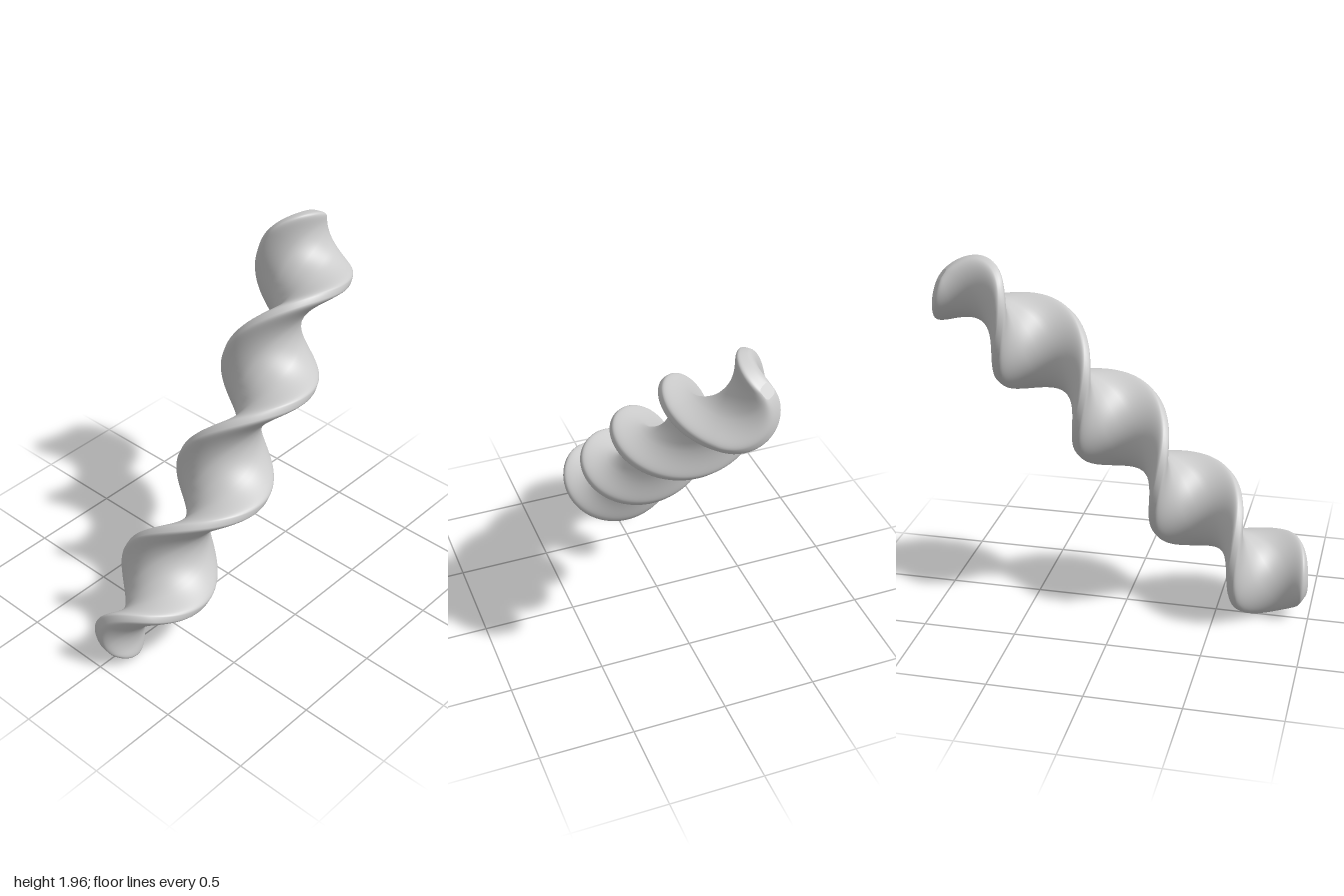
import * as THREE from 'three';

const V = (x, y, z) => new THREE.Vector3(x, y, z);

// Gently bent centre line; each control point is one half turn of the twist
const axis = new THREE.CatmullRomCurve3([
  V(-1.11, -0.01, -0.005), V(-0.622, 0.33, 0.06), V(-0.19, 0.735, 0.082),
  V(0.227, 1.176, 0.042), V(0.638, 1.592, -0.07), V(1.06, 1.975, -0.245),
], false, 'catmullrom', 0.5);

const START = -0.7, END = 3.67;                  // in half turns
const START_ROUND = 0.48, END_ROUND = 0.38;      // length of the rounded ends
const RINGS = 240, SIDES = 48;
const HALF_WIDTH = 0.264, HALF_THICK = 0.074;

const rounded = (c) => Math.sign(c) * Math.abs(c) ** 0.58;

// One cross-section of the ribbon at half turn k
function section(k) {
  const t = (k + 1) / 5;
  const centre = axis.getPoint(t);
  const tangent = axis.getTangent(t);
  const n1 = V(0, 0, 1).addScaledVector(tangent, -tangent.z).normalize();
  const n2 = n1.clone().cross(tangent);
  const phi = -Math.PI * k;
  const wide = n1.clone().multiplyScalar(Math.cos(phi)).addScaledVector(n2, Math.sin(phi));
  const thin = n1.clone().multiplyScalar(Math.sin(phi)).addScaledVector(n2, -Math.cos(phi));
  // the ribbon narrows to a small blunt tip at both ends
  const x = Math.max(0, 1 - (k - START) / START_ROUND, 1 - (END - k) / END_ROUND);
  const f = (1 - (0.985 * x) ** 1.75) ** (1 / 1.75);
  const w = HALF_WIDTH * f, h = HALF_THICK * f ** 0.35;
  const points = [];
  for (let j = 0; j < SIDES; j++) {
    const a = (j / SIDES) * Math.PI * 2;
    points.push(centre.clone()
      .addScaledVector(wide, w * rounded(Math.cos(a)))
      .addScaledVector(thin, h * rounded(Math.sin(a))));
  }
  return { centre, points };
}

function buildGeometry(points, index) {
  const g = new THREE.BufferGeometry().setFromPoints(points);
  g.setIndex(index);
  g.computeVertexNormals();
  return g;
}

// Skin running along the twisted ribbon, with rings closer together at the ends
function ribbonGeometry() {
  const points = [], index = [];
  for (let i = 0; i <= RINGS; i++) {
    const s = (1 - Math.cos(Math.PI * i / RINGS)) / 2;
    points.push(...section(START + (END - START) * s).points);
    if (i === RINGS) break;
    for (let j = 0; j < SIDES; j++) {
      const a = i * SIDES + j, b = i * SIDES + (j + 1) % SIDES;
      index.push(a, b, a + SIDES, b, b + SIDES, a + SIDES);
    }
  }
  return buildGeometry(points, index);
}

// Small flat facet closing one end
function capGeometry(k, flip) {
  const { centre, points } = section(k);
  const index = [];
  for (let j = 0; j < SIDES; j++) {
    const n = (j + 1) % SIDES;
    index.push(SIDES, flip ? n : j, flip ? j : n);
  }
  return buildGeometry([...points, centre], index);
}

export function createModel() {
  const group = new THREE.Group();
  group.name = 'twistedSpiral';
  const material = new THREE.MeshStandardMaterial({ color: 0xcccccc });
  const add = (name, geometry) => {
    const mesh = new THREE.Mesh(geometry, material);
    mesh.name = name;
    group.add(mesh);
  };
  add('twistedRibbon', ribbonGeometry());
  add('lowerEnd', capGeometry(START, true));
  add('upperEnd', capGeometry(END, false));
  return group;
}
